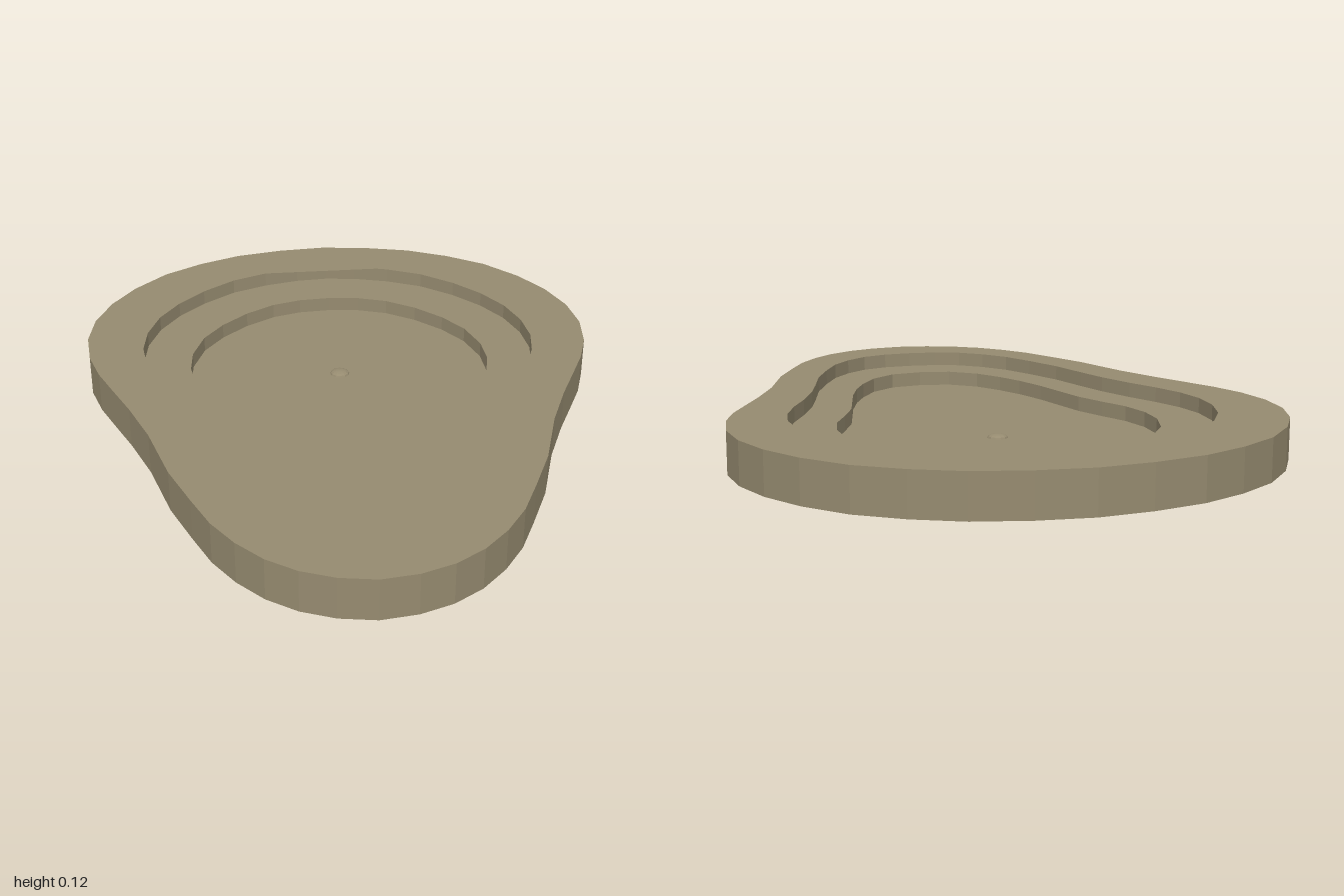
import * as THREE from 'three';

// Half outlines as [x, z], from the back centre round the left side to the front centre
const OUTER = [[0, -1], [0.15, -0.985], [0.3, -0.95], [0.43, -0.89], [0.55, -0.81], [0.65, -0.7],
  [0.72, -0.585], [0.765, -0.46], [0.78, -0.33], [0.765, -0.2], [0.73, -0.09], [0.685, 0.01],
  [0.63, 0.13], [0.57, 0.28], [0.51, 0.48], [0.45, 0.62], [0.4, 0.73], [0.34, 0.82],
  [0.27, 0.895], [0.19, 0.95], [0.1, 0.985], [0, 1]];
const MIDDLE = [[0, -0.83], [0.1, -0.82], [0.21, -0.79], [0.32, -0.74], [0.42, -0.66], [0.5, -0.57],
  [0.56, -0.47], [0.595, -0.36], [0.605, -0.25], [0.59, -0.15], [0.555, -0.05], [0.51, 0.05],
  [0.465, 0.17], [0.435, 0.28], [0.4, 0.42], [0.35, 0.55], [0.3, 0.66], [0.24, 0.74],
  [0.17, 0.8], [0.09, 0.83], [0, 0.838]];
const INNER = [[0, -0.67], [0.1, -0.66], [0.19, -0.63], [0.28, -0.57], [0.36, -0.49], [0.42, -0.4],
  [0.455, -0.29], [0.46, -0.19], [0.44, -0.09], [0.4, 0], [0.36, 0.1], [0.335, 0.21],
  [0.31, 0.32], [0.275, 0.43], [0.235, 0.52], [0.18, 0.61], [0.1, 0.675], [0, 0.693]];

const TOP = 0.12, LEDGE = 0.075, FLOOR = 0.03;

// Mirror a half outline into a closed loop
function closedLoop(half) {
  return [...half, ...half.slice(1, -1).reverse().map(([x, z]) => [-x, z])];
}

// Flat face at height y, optionally with a hole; side 1 faces up, -1 faces down
function capGeometry(loop, hole, y, side = 1) {
  const points = (l) => l.map(([x, z]) => new THREE.Vector2(x, -z * side));
  const shape = new THREE.Shape(points(loop));
  if (hole) shape.holes.push(new THREE.Path(points(hole)));
  return new THREE.ShapeGeometry(shape).rotateX(-side * Math.PI / 2).translate(0, y, 0);
}

// Upright wall along a loop; faces outward when y0 < y1 and inward when y0 > y1
function wallGeometry(loop, y0, y1) {
  const positions = [];
  loop.forEach(([ax, az], i) => {
    const [bx, bz] = loop[(i + 1) % loop.length];
    positions.push(ax, y0, az, ax, y1, az, bx, y1, bz, ax, y0, az, bx, y1, bz, bx, y0, bz);
  });
  const geometry = new THREE.BufferGeometry();
  geometry.setAttribute('position', new THREE.Float32BufferAttribute(positions, 3));
  geometry.computeVertexNormals();
  return geometry;
}

export function createModel() {
  const group = new THREE.Group();
  group.name = 'steppedBasin';
  const material = new THREE.MeshStandardMaterial({ color: 0x968b70, flatShading: true });
  const add = (name, geometry) => {
    const mesh = new THREE.Mesh(geometry, material);
    mesh.name = name;
    group.add(mesh);
    return mesh;
  };
  const outer = closedLoop(OUTER), middle = closedLoop(MIDDLE), inner = closedLoop(INNER);

  // Outer body
  add('underside', capGeometry(outer, null, 0, -1));
  add('outerWall', wallGeometry(outer, 0, TOP));
  add('rim', capGeometry(outer, middle, TOP));

  // Two steps down to the floor
  add('upperStepWall', wallGeometry(middle, TOP, LEDGE));
  add('ledge', capGeometry(middle, inner, LEDGE));
  add('lowerStepWall', wallGeometry(inner, LEDGE, FLOOR));
  add('basinFloor', capGeometry(inner, null, FLOOR));

  // Small low knob on the floor
  const knob = add('floorKnob', new THREE.SphereGeometry(0.03, 12, 4, 0, Math.PI * 2, 0, Math.PI / 2));
  knob.scale.y = 0.4;
  knob.position.set(0, FLOOR, -0.21);

  return group;
}
